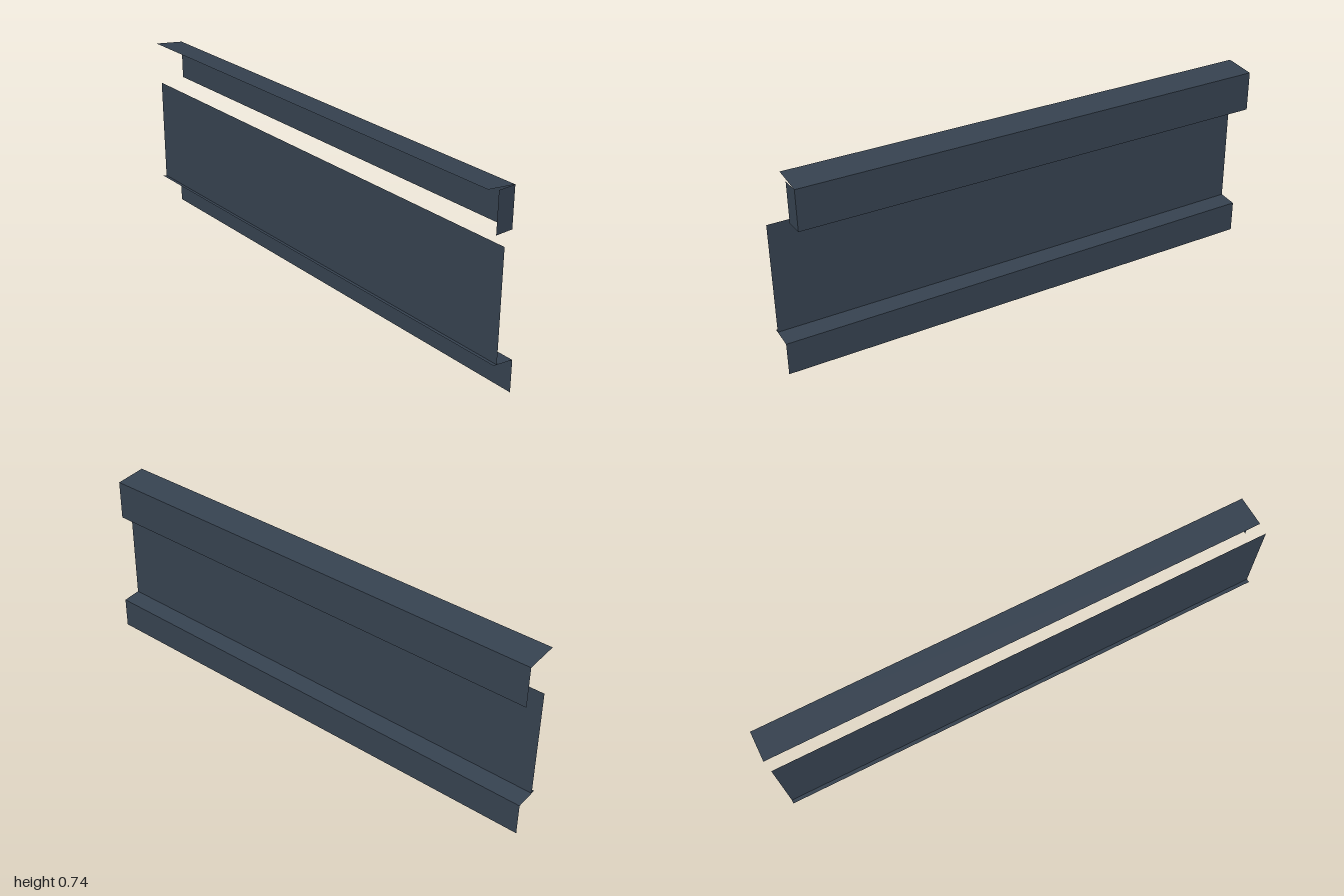
import * as THREE from 'three';

const slate = new THREE.MeshStandardMaterial({ color: 0x35414f, side: THREE.DoubleSide });
slate.name = 'slate sheet';

const BACK = -1;

// Flat sheet swept along z between two points (x, y) of the cross-section
function sheet(name, [x0, y0], [x1, y1], front) {
  const geometry = new THREE.BufferGeometry();
  geometry.setAttribute('position', new THREE.Float32BufferAttribute([
    x0, y0, front, x1, y1, front, x1, y1, BACK, x0, y0, BACK,
  ], 3));
  geometry.setIndex([0, 1, 2, 0, 2, 3]);
  geometry.computeVertexNormals();
  const mesh = new THREE.Mesh(geometry, slate);
  mesh.name = name;
  return mesh;
}

export function createModel() {
  const model = new THREE.Group();
  model.name = 'profiledPanel';

  // Upper rail: sloping cap, outer face and one end plate at the front
  const upperRail = new THREE.Group();
  upperRail.name = 'upperRail';
  const railFront = 0.93;
  upperRail.add(
    sheet('railTop', [-0.061, 0.735], [0.061, 0.72], railFront),
    sheet('railFace', [0.061, 0.72], [0.061, 0.563], railFront),
  );
  const endPlate = new THREE.Mesh(new THREE.PlaneGeometry(0.073, 0.157), slate);
  endPlate.name = 'railEndPlate';
  endPlate.position.set(0.0245, 0.6415, railFront);
  upperRail.add(endPlate);

  // Lower panel: upright web standing on a sloping ledge with a skirt
  const lowerPanel = new THREE.Group();
  lowerPanel.name = 'lowerPanel';
  lowerPanel.add(
    sheet('web', [-0.046, 0.56], [-0.046, 0.134], 1),
    sheet('ledge', [-0.061, 0.136], [0.027, 0.125], 1),
    sheet('skirt', [0.027, 0.125], [0.027, 0], 1),
  );

  model.add(upperRail, lowerPanel);
  return model;
}
